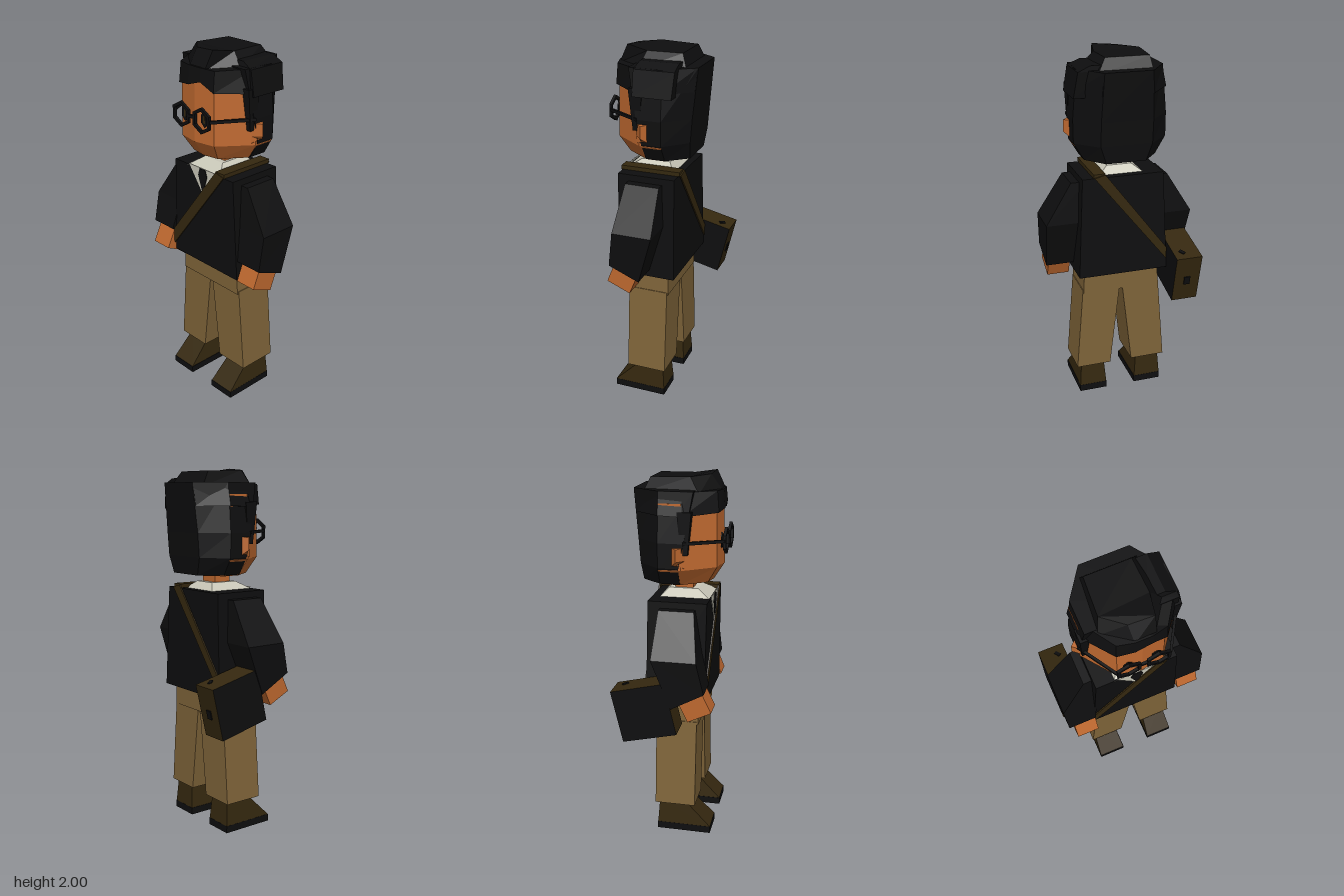
import * as THREE from 'three';

const mat = (name, color, extra = {}) => {
  const m = new THREE.MeshStandardMaterial({ color, flatShading: true, ...extra });
  m.name = name;
  return m;
};

// Solid through rings of [x, y, z] points, capped at both ends, wound outwards
function loft(rings) {
  const tris = [], n = rings[0].length;
  for (let r = 0; r < rings.length - 1; r++)
    for (let i = 0; i < n; i++) {
      const j = (i + 1) % n, a = rings[r], b = rings[r + 1];
      tris.push([a[i], a[j], b[j]], [a[i], b[j], b[i]]);
    }
  const lo = rings[0], hi = rings[rings.length - 1];
  for (let i = 1; i < n - 1; i++) tris.push([lo[0], lo[i + 1], lo[i]], [hi[0], hi[i], hi[i + 1]]);
  const v = p => new THREE.Vector3(...p);
  const c = rings.flat().reduce((s, p) => s.add(v(p)), new THREE.Vector3()).divideScalar(n * rings.length);
  let vol = 0;
  for (const [p, q, r] of tris) vol += v(p).sub(c).dot(v(q).sub(c).cross(v(r).sub(c)));
  if (vol < 0) tris.forEach(t => t.reverse());
  const g = new THREE.BufferGeometry();
  g.setAttribute('position', new THREE.Float32BufferAttribute(tris.flat(2), 3));
  g.computeVertexNormals();
  return g;
}

// Rectangular ring, with separate heights for its front and back edges
const rect = (x0, x1, z0, z1, yBack, yFront = yBack) =>
  [[x0, yFront, z1], [x1, yFront, z1], [x1, yBack, z0], [x0, yBack, z0]];
const outline = (pts, y, s = 1, t = s) => pts.map(([x, z]) => [x * s, y, z * t]);

export function createModel() {
  const model = new THREE.Group();
  model.name = 'schoolboy';
  const black = mat('black', 0x0e0e0f), skin = mat('skin', 0xbe682f), khaki = mat('khaki', 0x7f6439);
  const brown = mat('darkBrown', 0x35280f), cream = mat('cream', 0xc9c7b8);
  const brownFlat = mat('strapBrown', 0x35280f, { side: THREE.DoubleSide });

  const add = (name, geo, material, x = 0, y = 0, z = 0) => {
    const m = new THREE.Mesh(geo, material);
    m.name = name;
    m.position.set(x, y, z);
    model.add(m);
    return m;
  };
  const box = (name, w, h, d, material, x, y, z) => add(name, new THREE.BoxGeometry(w, h, d), material, x, y, z);
  const plate = (name, pts, depth, material, z) => add(name, new THREE.ExtrudeGeometry(
    new THREE.Shape(pts.map(p => new THREE.Vector2(...p))), { depth, bevelEnabled: false }), material, 0, 0, z);

  // Legs and shoes
  for (const s of [1, -1]) {
    const side = s > 0 ? 'left' : 'right';
    add(side + 'Trouser', loft([
      rect(s * 0.065, s * 0.265, -0.07, 0.155, 0.175),
      rect(s * 0.008, s * 0.225, -0.07, 0.155, 0.67)]), khaki);
    add(side + 'Shoe', loft([
      rect(s * 0.088, s * 0.247, -0.06, 0.24, 0.04),
      rect(s * 0.1, s * 0.237, -0.05, 0.1, 0.18)]), brown);
    box(side + 'Sole', 0.162, 0.04, 0.302, black, s * 0.167, 0.02, 0.09);
  }
  add('hips', loft([rect(-0.222, 0.222, -0.075, 0.163, 0.655), rect(-0.215, 0.215, -0.075, 0.163, 0.8)]), khaki);

  // Sweater with shirt front, tie and collar
  add('sweater', loft([
    rect(-0.255, 0.255, -0.12, 0.2, 0.775),
    rect(-0.228, 0.228, -0.112, 0.205, 1.345)]), black);
  plate('shirtFront', [[-0.11, 1.352], [0, 1.2], [0.11, 1.352]], 0.005, cream, 0.203);
  plate('tie', [[-0.022, 1.35], [-0.034, 1.31], [0, 1.21], [0.034, 1.31], [0.022, 1.35]], 0.005, black, 0.207);
  add('collar', loft([
    rect(-0.13, 0.13, -0.075, 0.206, 1.34),
    rect(-0.07, 0.07, -0.03, 0.13, 1.385)]), cream);
  box('neck', 0.11, 0.14, 0.1, skin, 0, 1.4, 0.05);

  // Sleeves and hands, the right one reaching further forward
  for (const s of [1, -1]) {
    const side = s > 0 ? 'left' : 'right', f = s > 0 ? 0 : 1;
    add(side + 'Sleeve', loft([
      rect(s * 0.25, s * 0.41, 0.02 + f * 0.03, 0.19 + f * 0.035, 0.815, 0.885 + f * 0.025),
      rect(s * 0.225, s * 0.418, -0.055, 0.165 + f * 0.02, 1.08),
      rect(s * 0.19, s * 0.275, -0.045, 0.145, 1.31)]), black);
    const hand = box(side + 'Hand', 0.125, 0.12 + f * 0.02, 0.14, skin, s * (0.33 - f * 0.015), 0.81 + f * 0.02, 0.122 + f * 0.045);
    hand.rotation.x = -0.39 - f * 0.06;
  }

  // Head
  const skull = [[0, 0.26], [0.125, 0.238], [0.252, 0.07], [0.252, -0.05], [0.13, -0.14],
    [-0.13, -0.14], [-0.252, -0.05], [-0.252, 0.07], [-0.125, 0.238]];
  add('head', loft([outline(skull, 1.43, 0.75, 0.78), outline(skull, 1.52), outline(skull, 1.86, 0.97)]), skin);
  for (const s of [1, -1])
    add(s > 0 ? 'leftEar' : 'rightEar', loft([
      [[s * 0.24, 1.53, 0.01], [s * 0.262, 1.55, 0.05], [s * 0.24, 1.53, 0.09]],
      [[s * 0.24, 1.57, 0.01], [s * 0.285, 1.57, 0.05], [s * 0.24, 1.57, 0.09]],
      [[s * 0.24, 1.64, 0.01], [s * 0.285, 1.635, 0.05], [s * 0.24, 1.64, 0.09]]]), skin);

  // Hair: back shell, crown with fringe, raised top, side tuft and sideburn
  const shell = (y, w, front, back) => [[w, y, front], [w, y, -0.05], [w * 0.55, y, back],
    [-w * 0.55, y, back], [-w, y, -0.05], [-w, y, front]];
  add('hairBack', loft([shell(1.435, 0.2, 0.055, -0.158), shell(1.53, 0.257, 0.058, -0.168),
    shell(1.66, 0.258, 0.085, -0.178), shell(1.92, 0.235, 0.13, -0.203)]), black);
  add('hairFringe', loft([
    [[-0.256, 1.795, 0.075], [-0.13, 1.805, 0.245], [-0.04, 1.815, 0.262], [0.05, 1.845, 0.262], [0.13, 1.8, 0.245],
      [0.258, 1.79, 0.075], [0.26, 1.8, -0.05], [0.14, 1.8, -0.19], [-0.14, 1.8, -0.19], [-0.256, 1.8, -0.05]],
    [[-0.23, 1.915, 0.07], [-0.125, 1.915, 0.235], [-0.04, 1.915, 0.255], [0.05, 1.915, 0.255], [0.13, 1.91, 0.235],
      [0.24, 1.915, 0.07], [0.24, 1.92, -0.05], [0.13, 1.92, -0.2], [-0.13, 1.92, -0.2], [-0.23, 1.92, -0.05]]]), black);
  add('hairTop', loft([
    [[-0.18, 1.9, 0.15], [-0.04, 1.9, 0.253], [0.07, 1.9, 0.25], [0.18, 1.9, 0.1], [0.15, 1.9, -0.15], [-0.15, 1.9, -0.15]],
    [[-0.155, 1.985, 0.1], [-0.05, 1.99, 0.19], [0.08, 2, 0.2], [0.105, 1.98, 0.08], [0.1, 1.98, -0.11], [-0.14, 1.98, -0.11]]]), black);
  add('hairTuft', loft([
    rect(0.1, 0.268, -0.11, 0.1, 1.78),
    rect(0.1, 0.245, -0.12, 0.1, 1.915),
    rect(0.09, 0.18, -0.12, 0.09, 1.945)]), black);
  for (const s of [1, -1])
    add('sideburn', loft([
      rect(s * 0.225, s * 0.25, 0.07, 0.105, 1.6),
      rect(s * 0.21, s * 0.258, 0.05, 0.125, 1.82)]), black);

  // Glasses and eyes
  const hexagon = (rx, ry) => [...Array(6)].map((_, i) => {
    const a = Math.PI / 6 + i * Math.PI / 3;
    return new THREE.Vector2(Math.cos(a) * rx, Math.sin(a) * ry);
  });
  for (const s of [1, -1]) {
    const side = s > 0 ? 'left' : 'right';
    const rim = new THREE.Shape(hexagon(0.071, 0.07));
    rim.holes.push(new THREE.Path(hexagon(0.053, 0.051)));
    add(side + 'LensRim', new THREE.ExtrudeGeometry(rim, { depth: 0.015, bevelEnabled: false }), black, s * 0.078, 1.655, 0.27);
    add(side + 'Eye', new THREE.ExtrudeGeometry(new THREE.Shape(hexagon(0.027, 0.042)), { depth: 0.006, bevelEnabled: false }),
      black, s * 0.075, 1.655, 0.252);
    box(side + 'Pupil', 0.012, 0.04, 0.004, brown, s * 0.075, 1.655, 0.258);
    add(side + 'Temple', loft([
      [[s * 0.13, 1.653, 0.285], [s * 0.13, 1.669, 0.285], [s * 0.13, 1.669, 0.27], [s * 0.13, 1.653, 0.27]],
      [[s * 0.148, 1.653, 0.275], [s * 0.148, 1.669, 0.275], [s * 0.14, 1.669, 0.262], [s * 0.14, 1.653, 0.262]],
      [[s * 0.266, 1.653, 0.08], [s * 0.266, 1.669, 0.08], [s * 0.25, 1.669, 0.08], [s * 0.25, 1.653, 0.08]]]), black);
  }
  box('glassesBridge', 0.05, 0.016, 0.014, black, 0, 1.66, 0.277);

  // Shoulder strap, front, back and over the shoulder
  const band = [[0.165, 1.35], [0.105, 1.365], [-0.252, 0.91], [-0.25, 0.82]];
  plate('strapFront', band, 0.008, brownFlat, 0.206);
  plate('strapBack', [[0.165, 1.35], [0.105, 1.365], [-0.25, 0.9], [-0.25, 0.83]], 0.008, brownFlat, -0.128);
  box('strapShoulder', 0.065, 0.022, 0.33, brown, 0.135, 1.358, 0.046);

  // Satchel with dark side panels and underside, tipped slightly backwards
  const satchel = new THREE.Group();
  satchel.name = 'satchel';
  satchel.position.set(-0.332, 0.778, -0.098);
  satchel.rotation.x = -0.23;
  const body = new THREE.Mesh(new THREE.BoxGeometry(0.15, 0.29, 0.3), [black, black, brown, black, brown, brown]);
  body.name = 'satchelBody';
  const buckle = new THREE.Mesh(new THREE.BoxGeometry(0.035, 0.05, 0.008), black);
  buckle.name = 'satchelBuckle';
  buckle.position.set(0, -0.01, -0.152);
  const stud = new THREE.Mesh(new THREE.BoxGeometry(0.02, 0.008, 0.035), black);
  stud.name = 'satchelStud';
  stud.position.set(0.025, 0.146, -0.09);
  stud.rotation.y = 0.6;
  satchel.add(body, buckle, stud);
  model.add(satchel);

  return model;
}
